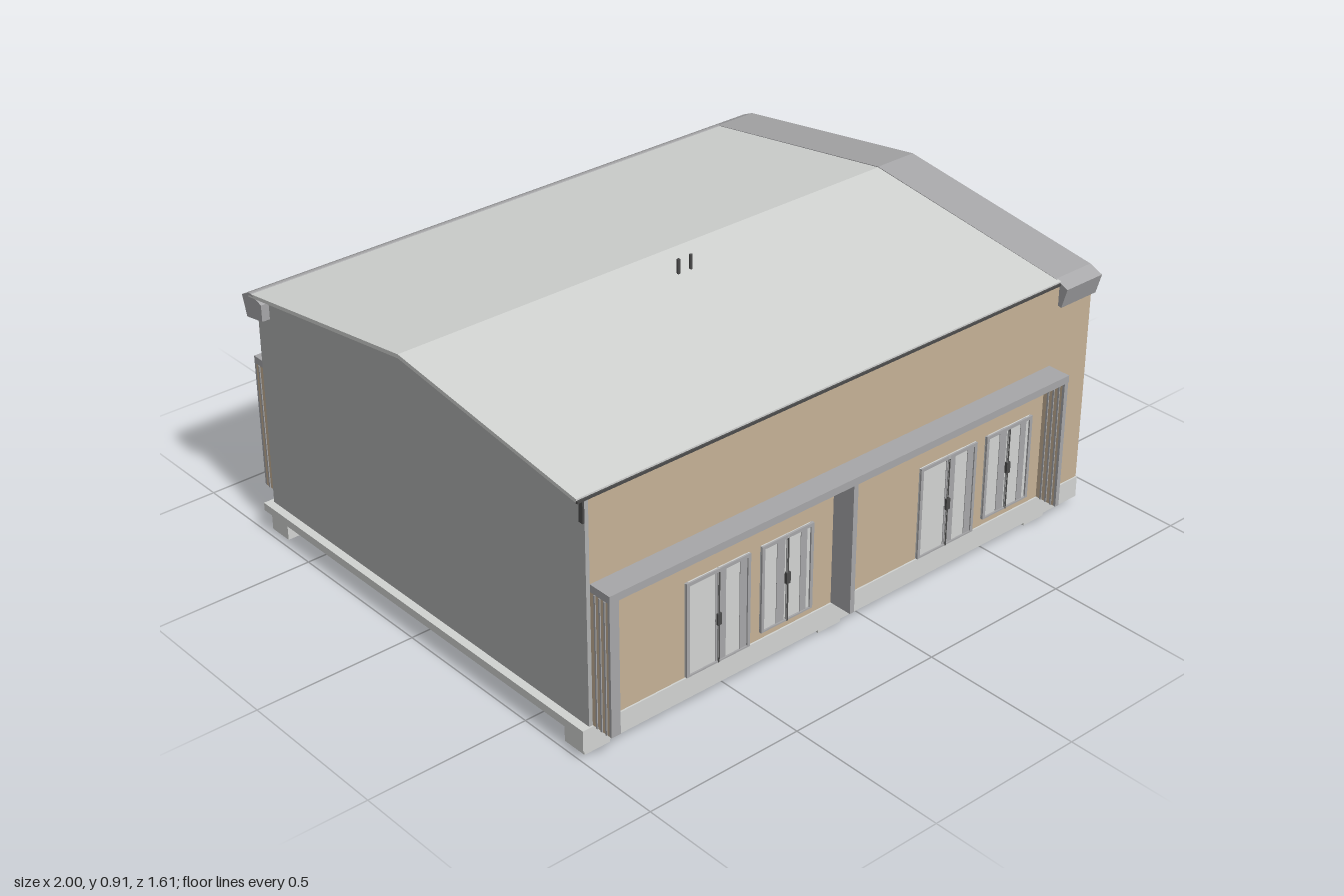
import * as THREE from 'three';

const mat = (name, color, side = THREE.FrontSide) => {
  const m = new THREE.MeshStandardMaterial({ color, side });
  m.name = name;
  return m;
};

export function createModel() {
  const model = new THREE.Group();
  const light = mat('light grey', 0xd3d5d3);
  const trim = mat('trim grey', 0xa8a8aa);
  const gable = mat('gable grey', 0xb0b1b1);
  const tan = mat('tan cladding', 0xc6b297);
  const dark = mat('dark metal', 0x4c4c4c);
  const brown = mat('brown pipe', 0x8d7355);

  const add = (name, geo, m, parent = model) => {
    const mesh = new THREE.Mesh(geo, m);
    mesh.name = name;
    parent.add(mesh);
    return mesh;
  };
  // box from min/max ranges
  const box = (name, m, x0, x1, y0, y1, z0, z1, parent = model) => {
    const mesh = add(name, new THREE.BoxGeometry(x1 - x0, y1 - y0, z1 - z0), m, parent);
    mesh.position.set((x0 + x1) / 2, (y0 + y1) / 2, (z0 + z1) / 2);
    return mesh;
  };
  // cross-section given as [z, y] pairs, extruded from x0 to x1
  const prism = (name, m, pts, x0, x1, hole) => {
    const v = (a) => a.map(([z, y]) => new THREE.Vector2(-z, y));
    const shape = new THREE.Shape(v(pts));
    if (hole) shape.holes.push(new THREE.Path(v(hole)));
    const geo = new THREE.ExtrudeGeometry(shape, { depth: x1 - x0, bevelEnabled: false });
    geo.rotateY(Math.PI / 2).translate(x0, 0, 0);
    return add(name, geo, m);
  };
  const pipe = (name, m, r, pts) => {
    const path = new THREE.CurvePath();
    for (let i = 1; i < pts.length; i++) {
      path.add(new THREE.LineCurve3(new THREE.Vector3(...pts[i - 1]), new THREE.Vector3(...pts[i])));
    }
    add(name, new THREE.TubeGeometry(path, 24, r, 6), m);
  };

  // foundation: slab, perimeter and cross beams, footings
  box('floorSlab', light, -0.997, 0.88, 0.07, 0.095, -0.72, 0.735);
  for (const z of [0.675, -0.675]) box('longBeam', light, -0.96, 0.85, 0.03, 0.07, z - 0.03, z + 0.03);
  for (const x of [-0.935, -0.11, 0.72]) {
    box('crossBeam', light, x - 0.025, x + 0.025, 0.03, 0.07, -0.645, 0.645);
    for (const z of [0.675, -0.675]) box('footing', light, x - 0.042, x + 0.042, 0, 0.07, z - 0.04, z + 0.04);
  }
  box('frontSill', light, -0.997, 0.88, 0.028, 0.07, 0.705, 0.735);

  // long side walls and rear gable
  box('frontWall', tan, -0.96, 0.88, 0.095, 0.774, 0.665, 0.73);
  box('backWall', tan, -0.96, 0.88, 0.095, 0.74, -0.705, -0.64);
  prism('leftGableWall', gable, [[0.73, 0.07], [0.73, 0.775], [0.01, 0.874], [-0.7, 0.776], [-0.705, 0.07]], -0.972, -0.96);

  // glazed gable wall behind the porch
  prism('glazedGableWall', light, [[0.665, 0.095], [0.665, 0.74], [0.01, 0.83], [-0.64, 0.74], [-0.64, 0.095]], 0.715, 0.74);
  const glazing = new THREE.Group();
  glazing.name = 'glazingFrames';
  model.add(glazing);
  const bar = (y0, y1, z0, z1) => box('glazingBar', trim, 0.738, 0.749, y0, y1, z0, z1, glazing);
  for (let i = 0; i <= 8; i++) {
    const z = 0.57 - i * 0.14;
    bar(0.095, 0.465, z - 0.007, z + 0.007);
  }
  bar(0.385, 0.398, -0.555, 0.577);
  box('glazingHead', dark, 0.738, 0.749, 0.462, 0.471, -0.557, 0.579, glazing);
  prism('upperWindowFrame', trim,
    [[0.585, 0.618], [0.585, 0.672], [0.01, 0.764], [-0.565, 0.672], [-0.565, 0.618]], 0.738, 0.749,
    [[0.572, 0.63], [0.572, 0.66], [0.01, 0.75], [-0.552, 0.66], [-0.552, 0.63]]);
  bar(0.625, 0.756, 0.005, 0.017);
  for (const z of [0.3, -0.28]) bar(0.625, 0.71, z - 0.005, z + 0.005);
  box('wallSocket', trim, 0.738, 0.752, 0.12, 0.19, 0.558, 0.58);

  // roof, back eave fascia and porch canopy
  prism('roof', light,
    [[0.73, 0.784], [0.01, 0.885], [-0.7, 0.785], [-0.7, 0.774], [0.01, 0.873], [0.73, 0.773]], -0.997, 0.745);
  box('frontEaveStrip', dark, -0.997, 0.745, 0.772, 0.779, 0.728, 0.735);
  prism('backEaveFascia', trim,
    [[-0.69, 0.788], [-0.7, 0.787], [-0.735, 0.769], [-0.717, 0.706], [-0.64, 0.719], [-0.64, 0.77]], -0.997, 0.745);
  prism('porchCanopy', trim,
    [[0.715, 0.787], [0.01, 0.887], [-0.695, 0.787], [-0.735, 0.769], [-0.717, 0.706],
      [-0.64, 0.722], [0.01, 0.817], [0.66, 0.722], [0.742, 0.706], [0.76, 0.769]], 0.74, 0.885);
  box('rearDownpipe', dark, -0.978, -0.964, 0.705, 0.775, 0.715, 0.73);
  for (const x of [-0.135, -0.09]) {
    const vent = add('roofVent', new THREE.CylinderGeometry(0.005, 0.005, 0.055, 8), dark);
    vent.position.set(x, 0.886, 0.118);
  }

  // shallow projecting frames along both long sides
  const sideFrame = (name, x0, wall, s) => {
    const g = new THREE.Group();
    g.name = name;
    model.add(g);
    const b = (n, m, xa, xb, ya, yb, da, db) => {
      const za = wall + s * da, zb = wall + s * db;
      box(n, m, xa, xb, ya, yb, Math.min(za, zb), Math.max(za, zb), g);
    };
    const out = s > 0 ? 0.075 : 0.1;
    b('frameRoof', trim, x0, 0.722, 0.5, 0.523, 0, out);
    b('frameSoffit', tan, x0 + 0.01, 0.712, 0.493, 0.5, 0, out - 0.01);
    // end fins: tan panel with grey slats and edge
    for (const [xa, xb] of [[x0, x0 + 0.03], [0.706, 0.72]]) {
      b('endFin', tan, xa, xb, 0.095, 0.5, 0, out - 0.008);
      b('endFinEdge', trim, xa, xb, 0.095, 0.5, out - 0.008, out);
      for (let i = 1; i < 4; i++) {
        const d = (out * i) / 4;
        b('finSlat', trim, xa - 0.003, xb + 0.003, 0.095, 0.5, d - 0.003, d + 0.003);
      }
    }
    b('middleFin', trim, -0.122, -0.106, 0.095, 0.5, 0, out);
  };
  sideFrame('frontSideFrame', -0.96, 0.73, 1);
  sideFrame('backSideFrame', -0.935, -0.705, -1);

  // doors and windows: frame border, panes, mullions, handles
  const opening = (name, x0, x1, y0, y1, wall, s, leaves, curtains) => {
    const g = new THREE.Group();
    g.name = name;
    model.add(g);
    const plate = (n, m, xa, xb, ya, yb, d, t) => {
      const z = wall + s * d;
      box(n, m, xa, xb, ya, yb, Math.min(z, z + s * t), Math.max(z, z + s * t), g);
    };
    const f = 0.01, w = (x1 - x0) / leaves;
    plate('pane', light, x0, x1, y0, y1, 0, 0.004);
    for (const [a, c] of curtains) plate('greyPane', trim, x0 + (x1 - x0) * a, x0 + (x1 - x0) * c, y0, y1, 0.003, 0.003);
    plate('frameTop', trim, x0, x1, y1 - f, y1, 0, 0.009);
    plate('frameBottom', trim, x0, x1, y0, y0 + f / 2, 0, 0.009);
    for (let i = 0; i <= leaves; i++) {
      const edge = i === 0 || i === leaves;
      const x = i === 0 ? x0 + f / 2 : i === leaves ? x1 - f / 2 : x0 + i * w;
      const h = edge ? f / 2 : 0.0035;
      plate('mullion', edge || leaves > 2 ? trim : gable, x - h, x + h, y0, y1, 0, 0.009);
    }
    const mid = (x0 + x1) / 2;
    plate('handle', dark, mid - 0.007, mid + 0.007, y0 + 0.12, y0 + 0.155, 0.004, 0.009);
    plate('centreJoint', dark, mid - 0.002, mid + 0.002, y0, y1 - f, 0.004, 0.0065);
  };
  for (const x of [0, 0.856]) {
    opening('frontDoor', x - 0.65, x - 0.427, 0.097, 0.39, 0.73, 1, 2, [[0.46, 0.62], [0.84, 0.95]]);
    opening('frontWindow', x - 0.387, x - 0.2, 0.118, 0.39, 0.73, 1, 2, [[0.3, 0.45], [0.76, 0.88]]);
  }
  for (const x of [0.18, -0.655]) {
    opening('backDoor', x, x + 0.425, 0.097, 0.39, -0.705, -1, 4, [[0.3, 0.48], [0.56, 0.7]]);
  }

  // service boxes and pipes
  box('porchStep', trim, 0.885, 0.96, 0.003, 0.11, 0.015, 0.103);
  box('meterBox', trim, 0.937, 1, 0.118, 0.195, 0.553, 0.576);
  pipe('meterCable', dark, 0.0025, [[0.88, 0.058, 0.612], [0.965, 0.058, 0.612], [0.965, 0.058, 0.57], [0.965, 0.12, 0.565]]);
  pipe('drainPipe', brown, 0.006, [[0.965, 0.018, 0.055], [0.4, 0.026, 0.055], [-0.12, 0.034, 0.055], [-0.12, 0.034, 0.12], [-0.12, 0.07, 0.12]]);
  pipe('drainBranch', brown, 0.005, [[-0.05, 0.033, 0.055], [-0.05, 0.033, -0.08], [-0.05, 0.07, -0.08]]);

  return model;
}
